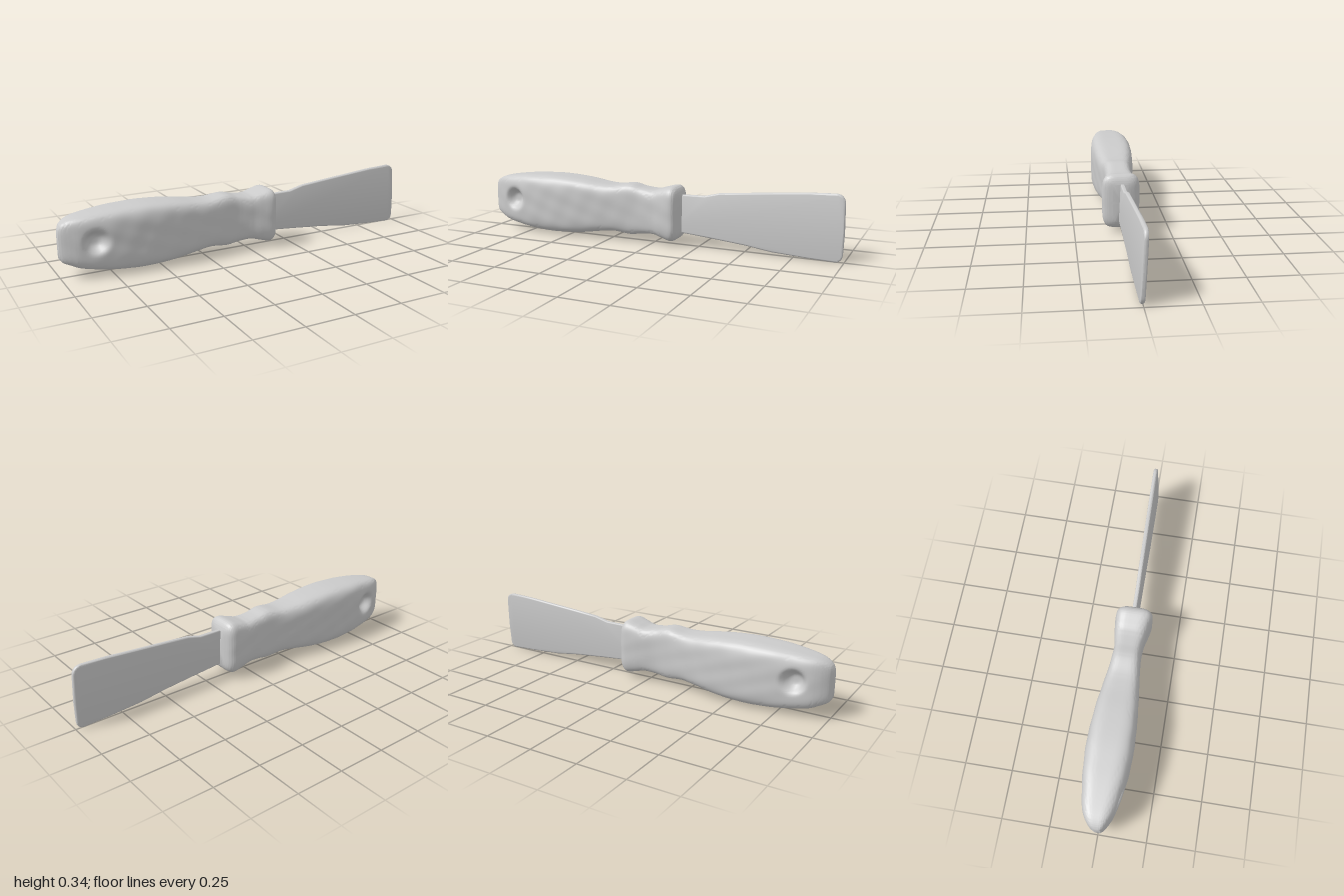
import * as THREE from 'three';
import { toCreasedNormals } from 'three/addons/utils/BufferGeometryUtils.js';

const material = new THREE.MeshStandardMaterial({ color: 0xcccccc });

// Handle stations: x, bottom, top, back, front
const STATIONS = [
  [-1.0, 0.105, 0.25, -0.015, 0.02],
  [-0.985, 0.085, 0.275, -0.04, 0.035],
  [-0.95, 0.068, 0.295, -0.068, 0.055],
  [-0.9, 0.048, 0.307, -0.088, 0.075],
  [-0.8, 0.03, 0.32, -0.106, 0.097],
  [-0.7, 0.019, 0.327, -0.118, 0.11],
  [-0.57, 0.014, 0.33, -0.122, 0.116],
  [-0.42, 0.024, 0.321, -0.114, 0.109],
  [-0.3, 0.042, 0.306, -0.098, 0.097],
  [-0.22, 0.05, 0.302, -0.086, 0.088],
  [-0.13, 0.04, 0.313, -0.074, 0.078],
  [-0.06, 0.049, 0.299, -0.072, 0.075],
  [0.01, 0.054, 0.293, -0.082, 0.083],
  [0.06, 0.042, 0.305, -0.089, 0.094],
  [0.11, 0.03, 0.318, -0.091, 0.104],
  [0.135, 0.038, 0.312, -0.083, 0.1],
  [0.15, 0.056, 0.292, -0.066, 0.08],
  [0.158, 0.075, 0.27, -0.04, 0.05],
];

// Rounded-box loft along x, with a thumb-sized dimple on both flat sides
function handleGeometry() {
  const heights = new THREE.CatmullRomCurve3(STATIONS.map(s => new THREE.Vector3(s[0], s[1], s[2])), false, 'catmullrom');
  const depths = new THREE.CatmullRomCurve3(STATIONS.map(s => new THREE.Vector3(s[0], s[3], s[4])), false, 'catmullrom');
  const sides = 96, steps = (STATIONS.length - 1) * 8, n = 4.5;
  const positions = [], index = [];

  function ring(t, scale) {
    const h = heights.getPoint(t), d = depths.getPoint(t);
    const cy = (h.y + h.z) / 2, ry = (h.z - h.y) / 2;
    const cz = (d.y + d.z) / 2, rz = (d.z - d.y) / 2;
    for (let j = 0; j < sides; j++) {
      const a = (j / sides) * Math.PI * 2;
      const c = Math.cos(a), s = Math.sin(a);
      const r = scale / Math.pow(Math.abs(c) ** n + Math.abs(s) ** n, 1 / n);
      const y = cy + ry * r * s;
      const dist = Math.hypot(h.x + 0.835, y - 0.185) / 0.05;
      const dent = 1 - 0.5 * Math.exp(-(dist ** 4));
      // slight hand-worn unevenness
      const wear = 1 + 0.012 * Math.sin(h.x * 37 + y * 21) * Math.sin(y * 45 - h.x * 13);
      positions.push(h.x, y, cz + rz * r * c * dent * wear);
    }
  }

  ring(0, 0.001);
  for (let i = 0; i <= steps; i++) ring(i / steps, 1);
  ring(1, 0.001);

  for (let i = 0; i < steps + 2; i++) {
    for (let j = 0; j < sides; j++) {
      const k = (j + 1) % sides;
      const a = i * sides + j, b = (i + 1) * sides + j;
      const c = (i + 1) * sides + k, d = i * sides + k;
      index.push(a, b, c, a, c, d);
    }
  }
  const geometry = new THREE.BufferGeometry();
  geometry.setAttribute('position', new THREE.Float32BufferAttribute(positions, 3));
  geometry.setIndex(index);
  return toCreasedNormals(geometry, 0.7);
}

// Thin flared blade with rounded edges, leaning slightly towards the back
function bladeGeometry() {
  const bevel = 0.008;
  const shape = new THREE.Shape();
  shape.moveTo(0.1, 0.082);
  shape.lineTo(0.3, 0.065);
  shape.lineTo(0.5, 0.046);
  shape.lineTo(0.64, 0.026);
  shape.lineTo(0.82, 0.015);
  shape.lineTo(0.955, 0.01);
  shape.quadraticCurveTo(0.985, 0.01, 0.987, 0.045);
  shape.lineTo(0.99, 0.15);
  shape.lineTo(0.986, 0.295);
  shape.quadraticCurveTo(0.982, 0.333, 0.945, 0.334);
  shape.lineTo(0.82, 0.329);
  shape.lineTo(0.64, 0.314);
  shape.lineTo(0.48, 0.301);
  shape.lineTo(0.36, 0.29);
  shape.lineTo(0.28, 0.27);
  shape.lineTo(0.1, 0.267);
  const geometry = new THREE.ExtrudeGeometry(shape, {
    depth: 0.006, bevelEnabled: true, bevelSize: bevel, bevelThickness: bevel,
    bevelOffset: -0.002, bevelSegments: 3, curveSegments: 8,
  });
  geometry.translate(0, 0, -0.003);
  const p = geometry.attributes.position;
  for (let i = 0; i < p.count; i++) {
    const x = p.getX(i), y = p.getY(i);
    p.setZ(i, p.getZ(i) + 0.006 - 0.012 * (x - 0.15) - 0.045 * (y - 0.17));
  }
  return toCreasedNormals(geometry, 0.7);
}

export function createModel() {
  const model = new THREE.Group();
  model.name = 'scraper';
  const handle = new THREE.Mesh(handleGeometry(), material);
  handle.name = 'handle';
  const blade = new THREE.Mesh(bladeGeometry(), material);
  blade.name = 'blade';
  model.add(handle, blade);
  return model;
}
